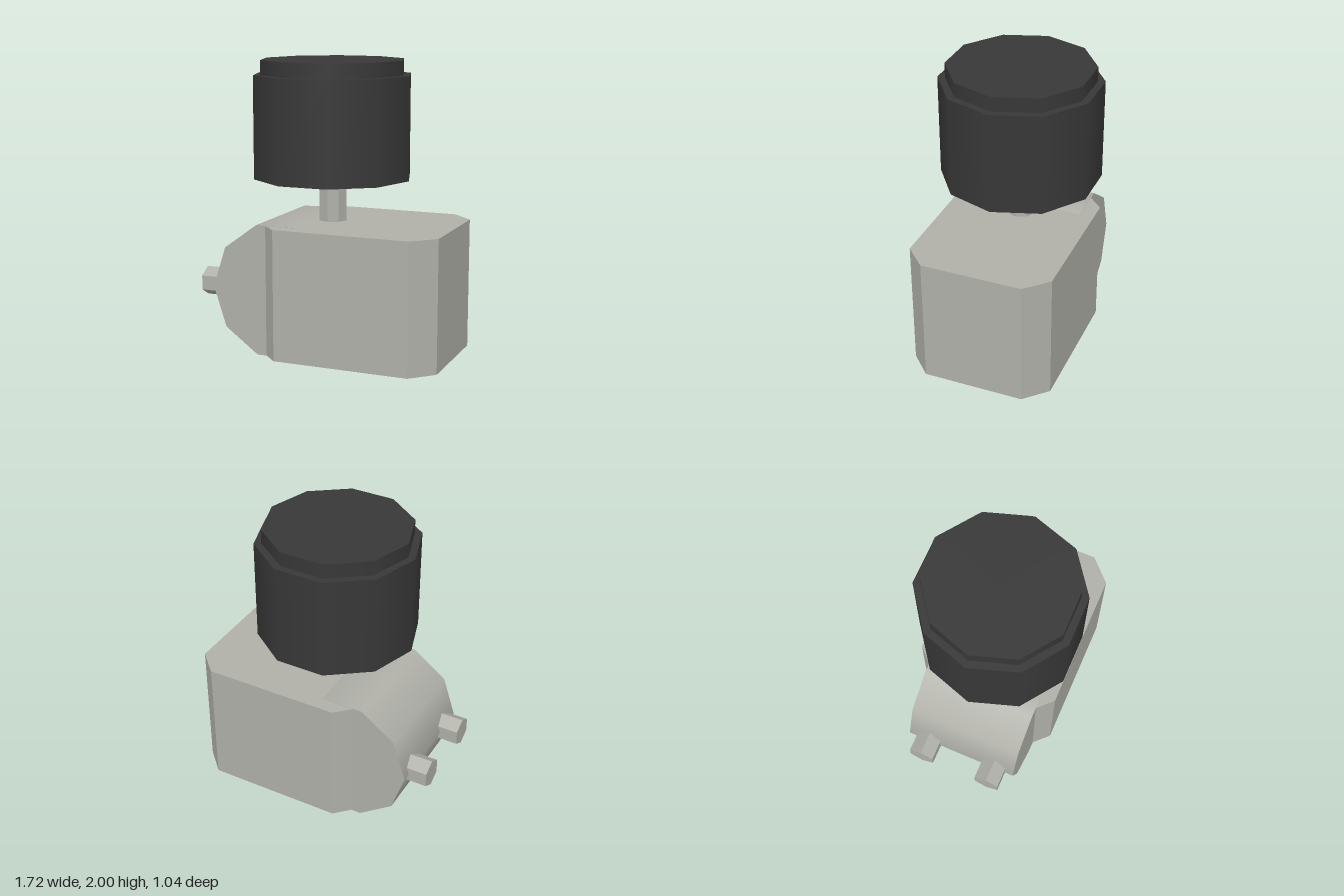
import * as THREE from 'three';

const metal = new THREE.MeshStandardMaterial({ color: 0xb0b0a9 });
metal.name = 'pale grey metal';
const rubber = new THREE.MeshStandardMaterial({ color: 0x383838 });
rubber.name = 'dark grey';

// Cylinder whose first corner lies on the x axis; flat gives faceted sides.
function prism(radius, height, sides, flat = false) {
  const g = new THREE.CylinderGeometry(radius, radius, height, sides, 1, false, Math.PI / 2);
  if (!flat) return g;
  const f = g.toNonIndexed();
  f.computeVertexNormals();
  return f;
}

export function createModel() {
  const model = new THREE.Group();
  model.name = 'valveKnob';

  const add = (name, geometry, material, x, y, z) => {
    const mesh = new THREE.Mesh(geometry, material);
    mesh.name = name;
    mesh.position.set(x, y, z);
    model.add(mesh);
  };

  // Block with four chamfered upright edges
  const x0 = -0.39, x1 = 0.86, d = 0.5, c = 0.15;
  const outline = new THREE.Shape([
    [x0 + c, -d], [x1 - c, -d], [x1, -d + c], [x1, d - c],
    [x1 - c, d], [x0 + c, d], [x0, d - c], [x0, -d + c],
  ].map(([x, y]) => new THREE.Vector2(x, y)));
  const block = new THREE.ExtrudeGeometry(outline, { depth: 0.9, bevelEnabled: false });
  block.rotateX(-Math.PI / 2);
  add('block', block, metal, 0, 0.002, 0);

  // Rounded end lying across the block
  add('roundedEnd', prism(0.4755, 0.8, 10).rotateX(Math.PI / 2), metal, -0.26, 0.452, 0);

  // Two hexagonal pegs
  for (const side of [-1, 1]) {
    const peg = prism(0.1, 0.25, 6, true).rotateZ(Math.PI / 2);
    add(side > 0 ? 'frontPeg' : 'backPeg', peg, metal, -0.738, 0.45, side * 0.25);
  }

  // Stem and stepped knob
  const axis = -0.014;
  add('stem', prism(0.1, 0.34, 8, true), metal, axis, 1.05, 0);
  add('knob', prism(0.548, 0.7, 10), rubber, axis, 1.55, 0);
  add('knobCap', prism(0.498, 0.11, 10), rubber, axis, 1.945, 0);

  return model;
}
